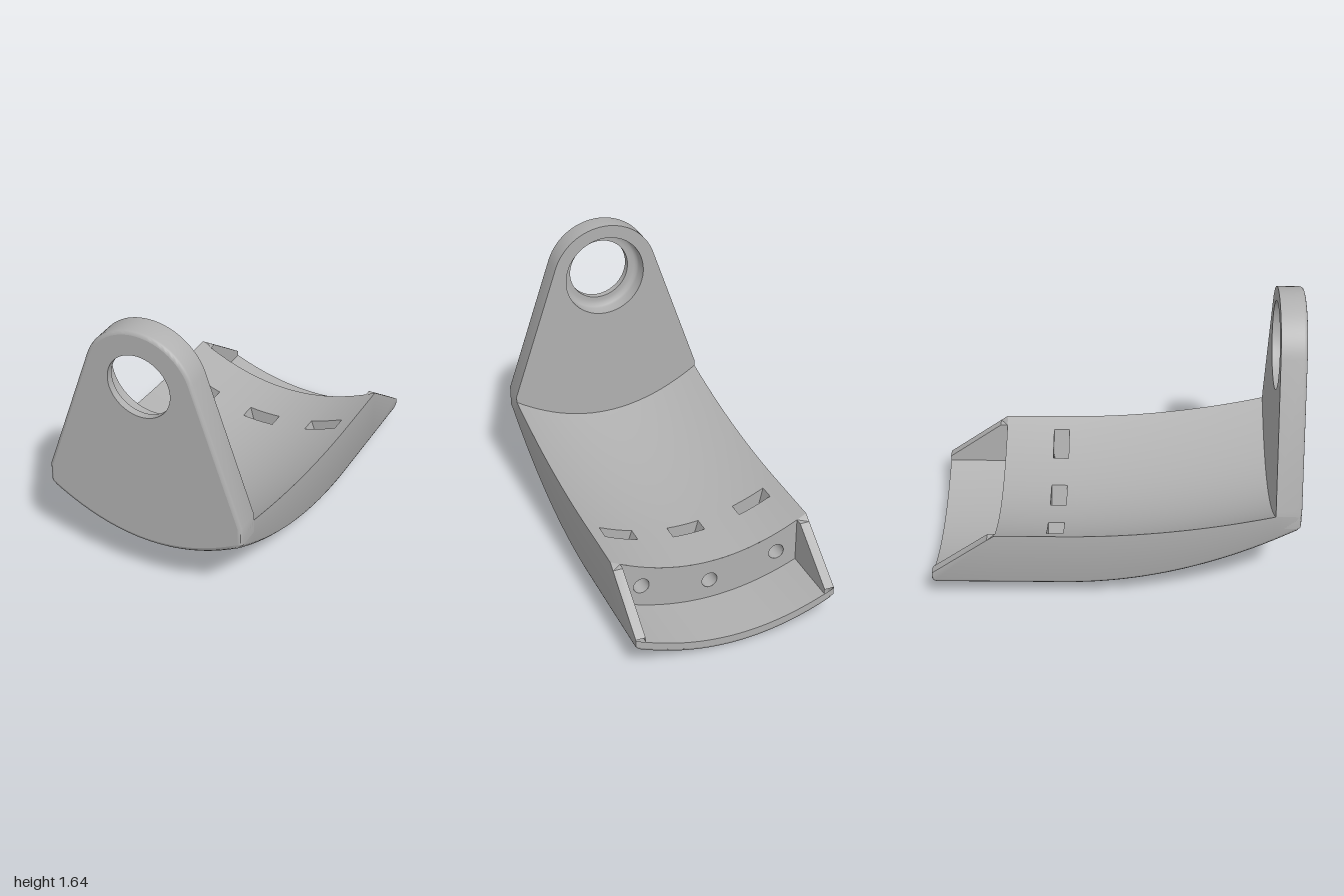
import * as THREE from 'three';
import { toCreasedNormals } from 'three/addons/utils/BufferGeometryUtils.js';

const W = 0.575;        // half width of the cradle
const INNER = 0.52;     // half width inside the rear shelf
const STEP = -0.65;     // z of the wall above the rear shelf
const SLOT = { front: -0.28, back: -0.37, half: 0.095, floor: 0.047, xs: [-0.4, 0, 0.4] };
const HOLE = 0.045;

// Saddle surfaces: curved across x, flat behind z = -0.28 and rising ahead of it
const rise = (z, span) => (Math.max(0, z + 0.28) / span) ** 2;
const bottomY = (x, z) => {
  const t = rise(z, 1.28), mid = 0.34 * t, edge = 0.135 + 0.39 * t;
  return mid + (edge - mid) * (x / W) ** 2;
};
const topY = (x, z) => {
  const u = rise(z, 1.14);
  return 0.46 + 0.145 * u - (0.16 + 0.03 * u) * (1 - (x / W) ** 2);
};
const slantY = (z) => 0.2 + 0.26 * (z + 1) / 0.35;   // sloped cut over the shelf walls
const floorY = (x) => bottomY(x, -1) + 0.06;

const range = (a, b, n) => Array.from({ length: n + 1 }, (_, i) => a + (b - a) * i / n);

// Skin rows of points; skip(i, j) leaves a cell open
function loft(rows, skip = () => false) {
  const n = rows[0].length, index = [];
  for (let i = 0; i < rows.length - 1; i++) {
    for (let j = 0; j < n - 1; j++) {
      if (skip(i, j)) continue;
      const a = i * n + j, b = a + n;
      index.push(a, a + 1, b, b, a + 1, b + 1);
    }
  }
  const g = new THREE.BufferGeometry();
  g.setAttribute('position', new THREE.Float32BufferAttribute(rows.flat(2), 3));
  g.setIndex(index);
  return toCreasedNormals(g, 0.6);
}

function flatShape(points, z, holes = []) {
  const shape = new THREE.Shape(points.map(([x, y]) => new THREE.Vector2(x, y)));
  for (const [x, y, r] of holes) {
    const path = new THREE.Path();
    path.absarc(x, y, r, 0, Math.PI * 2, true);
    shape.holes.push(path);
  }
  return new THREE.ShapeGeometry(shape, 32).translate(0, 0, z);
}

// Move a counter-clockwise outline inwards by d
function inset(points, d) {
  const n = points.length;
  return points.map(([x, y], i) => {
    const normal = (p, q) => new THREE.Vector2(p[1] - q[1], q[0] - p[0]).normalize();
    const n1 = normal(points[(i + n - 1) % n], points[i]);
    const n2 = normal(points[i], points[(i + 1) % n]);
    const k = d / (1 + n1.dot(n2));
    return [x + (n1.x + n2.x) * k, y + (n1.y + n2.y) * k];
  });
}

export function createModel() {
  const model = new THREE.Group();
  const grey = new THREE.MeshStandardMaterial({ color: 0xb0b0b0, side: THREE.DoubleSide });
  grey.name = 'plainGrey';
  const add = (name, geometry, parent = model) => {
    const mesh = new THREE.Mesh(geometry, grey);
    mesh.name = name;
    parent.add(mesh);
    return mesh;
  };

  // Outer hull: sides and underside with rounded lower edges
  const hullRow = (z, dx, dy) => {
    const w = W - dx, be = bottomY(W, z) + dy;
    const sideTop = z < STEP ? slantY(z) : topY(W, Math.min(z, 0.86));
    const side = (s) => [[s * w, sideTop, z], [s * w, be + 0.02, z], [s * (w - 0.006), be + 0.005, z]];
    const under = range(-(w - 0.02), w - 0.02, 28).map((x) => [x, bottomY(x, z) + dy, z]);
    return [...side(-1), ...under, ...side(1).reverse()];
  };
  add('outerHull', loft([
    hullRow(-1, 0, 0.02), hullRow(-0.994, 0, 0.006), hullRow(-0.98, 0, 0),
    hullRow(STEP, 0, 0),
    ...range(-0.28, 0.86, 20).map((z) => hullRow(z, 0, 0)),
    hullRow(0.98, 0, 0), hullRow(0.994, 0.006, 0.006), hullRow(1, 0.02, 0.02),
  ]));

  // Saddle top, with cells left open for the three slots
  const slotEdges = SLOT.xs.flatMap((c) => [c - SLOT.half, c + SLOT.half]);
  const cuts = [-W, ...slotEdges, W];
  const xs = [-W];
  for (let i = 0; i < cuts.length - 1; i++) xs.push(...range(cuts[i], cuts[i + 1], 4).slice(1));
  const zs = [STEP, SLOT.back, SLOT.front, ...range(-0.28, 0.9, 20).slice(1)];
  const inSlot = (i, j) => i === 1 &&
    SLOT.xs.some((c) => Math.abs((xs[j] + xs[j + 1]) / 2 - c) < SLOT.half);
  add('saddleTop', loft(zs.map((z) => xs.map((x) => [x, topY(x, z), z])), inSlot));

  // Slots with sloping ends, each joined to a round tunnel from the rear wall
  const tunnels = SLOT.xs.map((x) => [x, topY(x, STEP) - 0.125, HOLE]);
  tunnels.forEach(([c, y]) => {
    const slot = new THREE.Group();
    slot.name = 'tieSlot';
    model.add(slot);
    const base = y - HOLE - 0.003;
    const mouth = range(c + SLOT.half, c - SLOT.half, 4).map((x) => [x, topY(x, -0.3)]);
    const outline = [[c - SLOT.floor, base], [c + SLOT.floor, base], ...mouth];
    const path = [mouth[4], outline[0], outline[1], mouth[0]];
    add('slotSides', loft([SLOT.back, SLOT.front].map((z) => path.map(([px, py]) => [px, py, z]))), slot);
    add('slotFront', flatShape(outline, SLOT.front), slot);
    add('slotBack', flatShape(outline, SLOT.back, [[c, y, HOLE]]), slot);
    const length = SLOT.back - STEP;
    const tube = new THREE.CylinderGeometry(HOLE, HOLE, length, 32, 1, true).rotateX(Math.PI / 2);
    add('tunnel', tube.translate(c, y, STEP + length / 2), slot);
  });

  // Rear shelf: wall with holes, floor, lip and sloped side walls
  const shelfXs = range(-INNER, INNER, 28);
  const wall = [
    ...shelfXs.map((x) => [x, floorY(x)]),
    ...shelfXs.slice().reverse().map((x) => [x, topY(x, STEP)]),
  ];
  add('rearWall', flatShape(wall, STEP, tunnels));
  add('shelfFloor', loft([STEP, -1].map((z) => shelfXs.map((x) => [x, floorY(x), z]))));
  const lipXs = range(-W, W, 28);
  add('rearLip', loft([
    lipXs.map((x) => [x, bottomY(x, -1) + 0.02, -1]),
    lipXs.map((x) => [x, Math.min(0.2, floorY(x)), -1]),
  ]));
  const wallZs = [-1, -0.69, STEP];
  for (const s of [-1, 1]) {
    const crest = (z) => Math.min(slantY(z), topY(INNER, STEP));
    add('shelfWallInner', loft(wallZs.map((z) =>
      [[s * INNER, floorY(INNER), z], [s * INNER, Math.max(floorY(INNER), crest(z)), z]])));
    add('shelfWallTop', loft(wallZs.map((z) =>
      [[s * INNER, Math.max(floorY(INNER), crest(z)), z], [s * W, slantY(z), z]])));
  }

  // Upright front plate: curved foot, tapering sides, round head, softened front edge
  const plate = new THREE.Group();
  plate.name = 'frontPlate';
  model.add(plate);
  const headY = 1.32, headR = 0.32, tangent = 0.334;
  const outline = [
    ...range(-W, W, 28).map((x) => [x, bottomY(x, 1)]),
    [W, 0.64],
    ...range(tangent, Math.PI - tangent, 40).map((a) => [headR * Math.cos(a), headY + headR * Math.sin(a)]),
    [-W, 0.64],
  ];
  const ring = (z, d) => {
    const pts = inset(outline, d).map(([x, y]) => [x, y, z]);
    return [...pts, pts[0]];
  };
  add('plateRim', loft([ring(0.86, 0), ring(0.98, 0), ring(0.99, 0.003), ring(0.997, 0.01), ring(1, 0.02)]), plate);
  add('plateFront', flatShape(inset(outline, 0.02), 1, [[0, 1.325, 0.18]]), plate);
  add('plateBack', flatShape(outline, 0.86, [[0, 1.325, 0.24]]), plate);

  // Stepped bore: wide at the back, rounding into the narrow front opening
  const bore = [[0.24, 0.86], [0.24, 0.93], [0.235, 0.947], [0.222, 0.957], [0.2, 0.96], [0.18, 0.96], [0.18, 1]]
    .map(([r, z]) => new THREE.Vector2(r, z));
  const boreGeometry = toCreasedNormals(new THREE.LatheGeometry(bore, 64), 0.7);
  add('plateBore', boreGeometry.rotateX(Math.PI / 2).translate(0, 1.325, 0), plate);

  return model;
}
